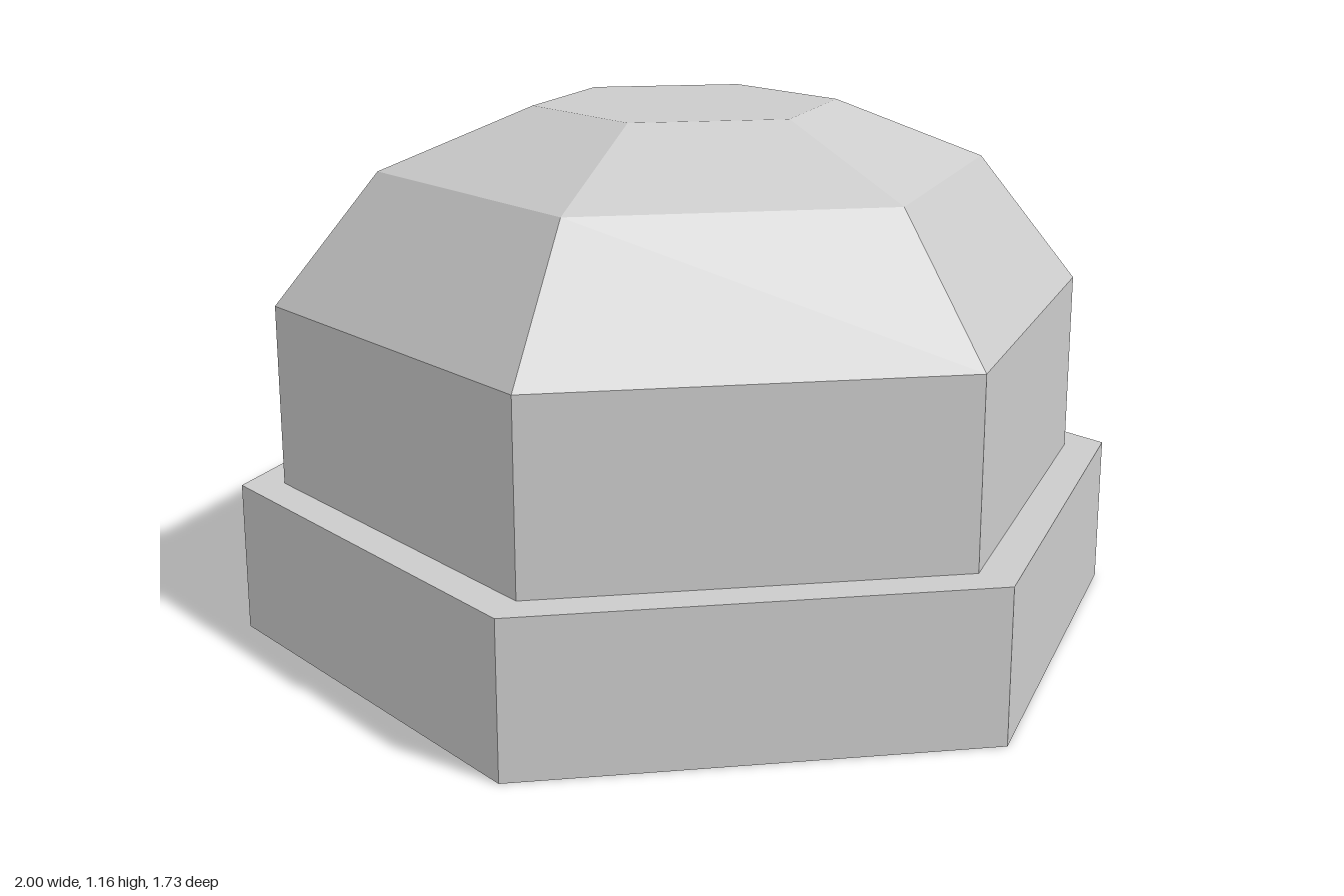
import * as THREE from 'three';

const SIDES = 6;
const START = Math.PI / 2; // puts a corner on the x axis

export function createModel() {
  const group = new THREE.Group();
  const material = new THREE.MeshStandardMaterial({ color: 0xcccccc, flatShading: true });

  // A closed six-sided tier between two heights
  const addTier = (name, bottomRadius, topRadius, y0, y1, open = false) => {
    const geometry = new THREE.CylinderGeometry(topRadius, bottomRadius, y1 - y0, SIDES, 1, open, START);
    const mesh = new THREE.Mesh(geometry, material);
    mesh.name = name;
    mesh.position.y = (y0 + y1) / 2;
    group.add(mesh);
  };

  // Wide hexagonal flange at the bottom
  addTier('base', 1, 1, 0, 0.335);

  // Upright hexagonal wall
  addTier('body', 0.907, 0.907, 0.335, 0.74, true);

  // Faceted dome with a flat hexagonal top
  const profile = [[0.907, 0.74], [0.675, 1.03], [0.337, 1.165], [0, 1.165]];
  const dome = new THREE.Mesh(
    new THREE.LatheGeometry(profile.map(([r, y]) => new THREE.Vector2(r, y)), SIDES, START),
    material
  );
  dome.name = 'dome';
  group.add(dome);

  return group;
}
